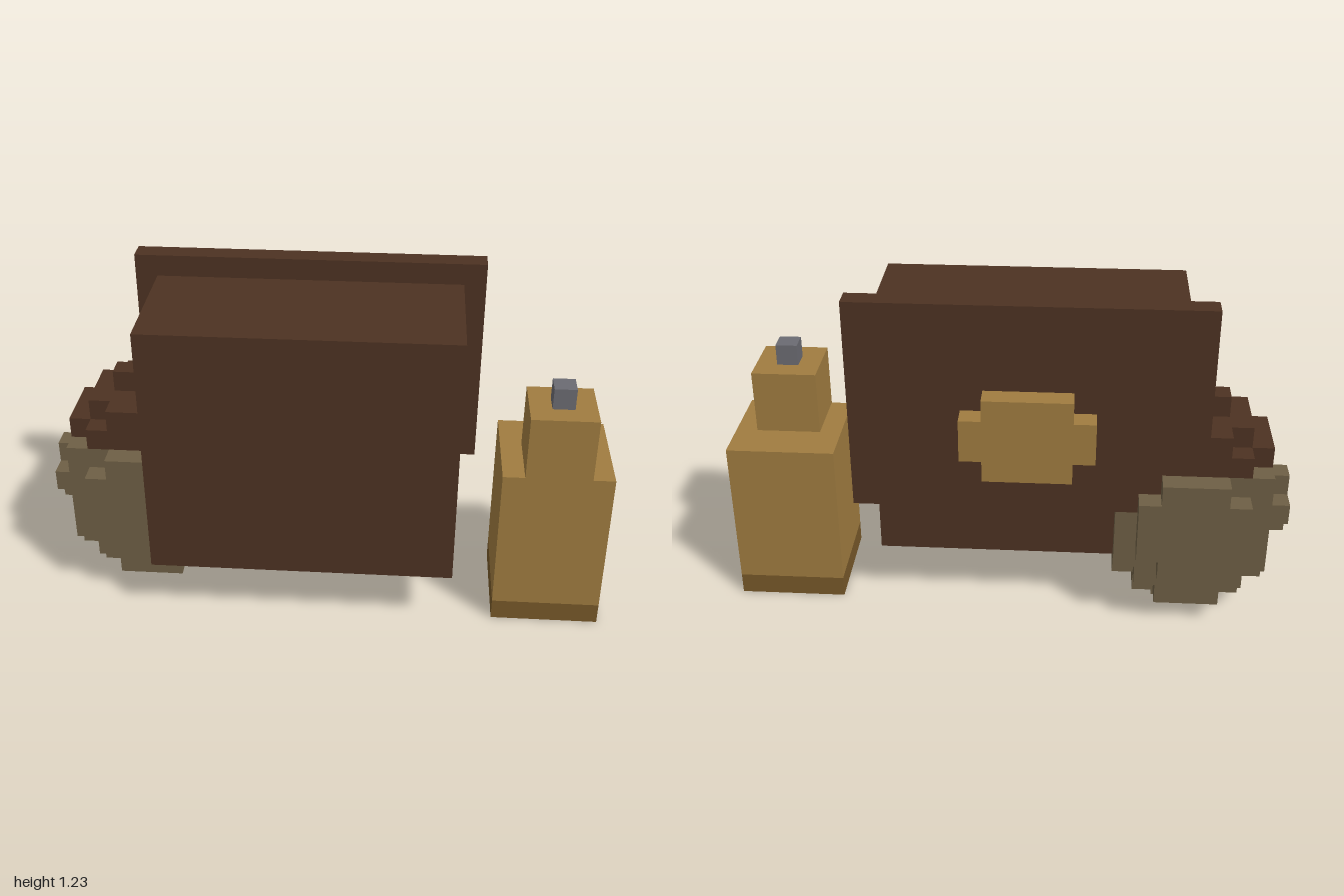
import * as THREE from 'three';
import { mergeGeometries } from 'three/addons/utils/BufferGeometryUtils.js';

const U = 1 / 13; // size of one block

const makeMaterial = (name, color) => {
  const m = new THREE.MeshStandardMaterial({ color });
  m.name = name;
  return m;
};

// Box spanning block coordinates [x0,x1] x [y0,y1] x [z0,z1]
function block(x0, x1, y0, y1, z0, z1) {
  const g = new THREE.BoxGeometry((x1 - x0) * U, (y1 - y0) * U, (z1 - z0) * U);
  return g.translate(((x0 + x1) / 2 - 13) * U, ((y0 + y1) / 2) * U, ((z0 + z1) / 2 - 4) * U);
}

// Rows of blocks filling an ellipsoid, cut short where the case and panel begin
function potRows(yFrom, yTo) {
  const rows = [];
  for (let y = yFrom; y < yTo; y++) {
    for (let z = 0; z < 7; z++) {
      const rest = 1 - 0.0375 * (y - 5) ** 2 - 0.076 * (z - 3) ** 2;
      if (rest < 0) continue;
      const r = Math.floor(Math.sqrt(rest / 0.0577));
      let end = 5 + r;
      if (y >= 3 && z >= 2) end = Math.min(end, 5);
      if (y >= 6 && z === 1) end = Math.min(end, 4);
      if (y === 10) end = Math.min(end, 4); // leaves room for the stem
      if (end > 4 - r) rows.push(block(4 - r, end, y, y + 1, z, z + 1));
    }
  }
  return mergeGeometries(rows);
}

export function createModel() {
  const model = new THREE.Group();
  const brown = makeMaterial('dark brown', 0x4d3222);
  const tan = makeMaterial('tan', 0xa07c40);
  const darkTan = makeMaterial('dark tan', 0x775829);
  const stone = makeMaterial('grey brown', 0x6e5f45);
  const pale = makeMaterial('pale straw', 0x978663);
  const grey = makeMaterial('grey', 0x6b6b72);

  const add = (name, geometry, material, parent = model) => {
    const mesh = new THREE.Mesh(geometry, material);
    mesh.name = name;
    parent.add(mesh);
  };

  // Case with its back panel and cross-shaped boss
  add('case', block(5, 19, 3, 15, 2, 8), brown);
  add('backPanel', block(4, 20, 6, 16, 1, 2), brown);
  add('backBoss', mergeGeometries([
    block(10, 14, 8, 12, 0, 1),
    block(9, 10, 9, 11, 0, 1),
    block(14, 15, 9, 11, 0, 1),
  ]), tan);

  // Stepped bottle
  const bottle = new THREE.Group();
  bottle.name = 'bottle';
  add('bottleBase', block(21, 26, 0, 1, 2, 7), darkTan, bottle);
  add('bottleBody', block(21, 26, 1, 8, 2, 7), tan, bottle);
  add('bottleNeck', block(22, 25, 8, 11, 4, 7), tan, bottle);
  add('bottleCap', block(23, 24, 11, 12, 5, 6), grey, bottle);
  model.add(bottle);

  // Rounded pot with a brown top and a stem
  const pot = new THREE.Group();
  pot.name = 'pot';
  add('potBody', potRows(0, 8), stone, pot);
  add('potTop', potRows(8, 11), brown, pot);
  add('potStem', block(4, 5, 10, 13, 3, 4), pale, pot);
  model.add(pot);

  return model;
}
